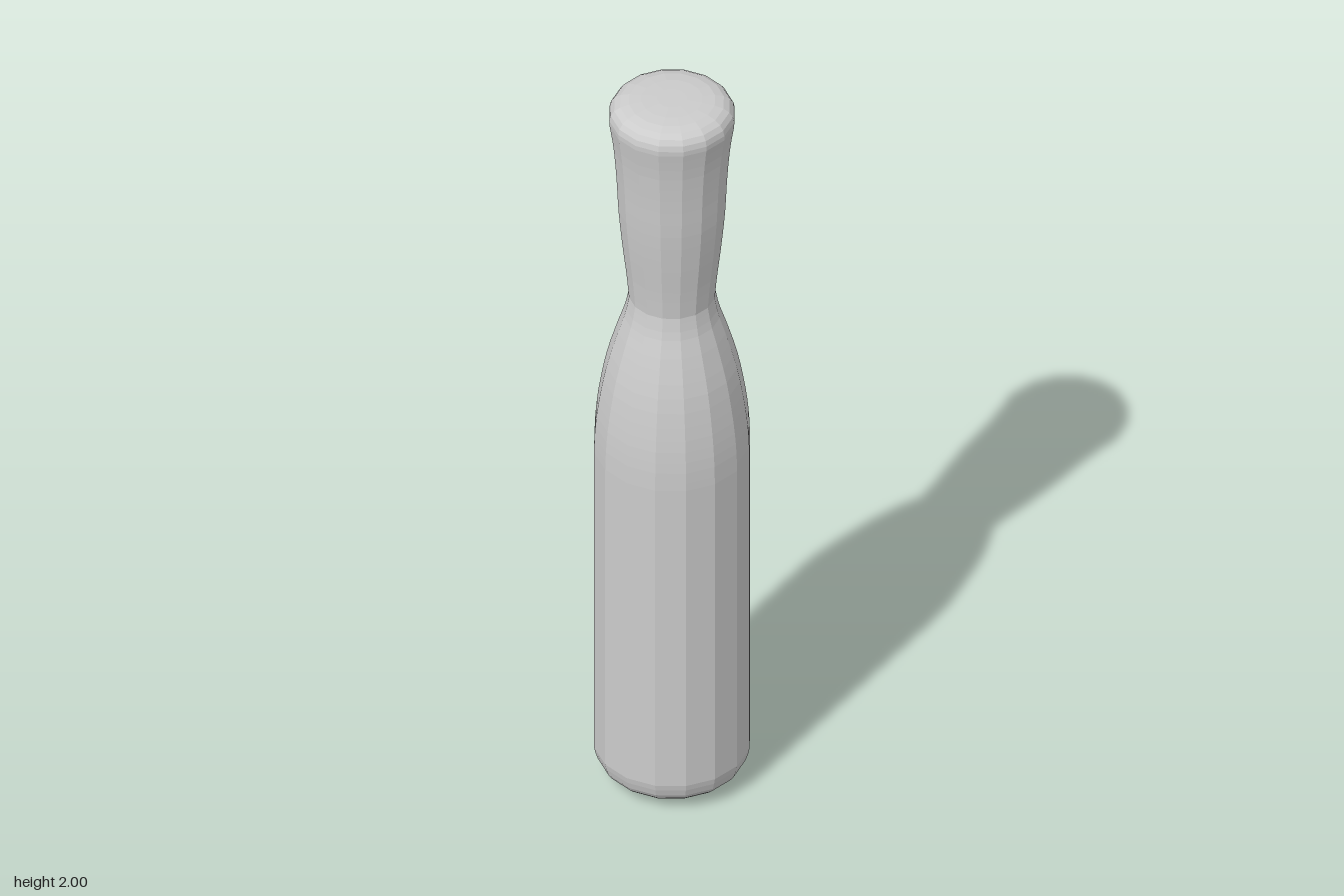
import * as THREE from 'three';

const SIDES = 16;

// Smooth curve through [radius, y] pairs
function smooth(pairs, divisions) {
  const curve = new THREE.SplineCurve(pairs.map(([r, y]) => new THREE.Vector2(r, y)));
  return curve.getPoints(divisions);
}

export function createModel() {
  const group = new THREE.Group();
  group.name = 'turnedClub';
  const material = new THREE.MeshStandardMaterial({ color: 0xcccccc, flatShading: true });

  function turned(name, points) {
    const mesh = new THREE.Mesh(new THREE.LatheGeometry(points, SIDES), material);
    mesh.name = name;
    group.add(mesh);
  }

  // Straight body with a rounded, slightly domed foot
  turned('body', [
    ...smooth([[0, 0], [0.06, 0.004], [0.115, 0.013], [0.157, 0.03], [0.178, 0.055], [0.187, 0.09]], 10),
    new THREE.Vector2(0.187, 0.97),
  ]);

  // Shoulder tapering into the narrow neck
  turned('shoulder', smooth([
    [0.187, 0.97], [0.184, 1.04], [0.175, 1.12], [0.157, 1.22],
    [0.132, 1.31], [0.113, 1.37], [0.103, 1.42],
  ], 16));

  // Grip swelling gently up to the flared end
  turned('grip', smooth([
    [0.103, 1.42], [0.109, 1.49], [0.119, 1.58], [0.128, 1.68],
    [0.133, 1.78], [0.14, 1.87], [0.15, 1.94],
  ], 16));

  // Rounded end cap
  turned('endCap', smooth([
    [0.15, 1.94], [0.149, 1.962], [0.136, 1.982], [0.108, 1.994], [0.06, 1.999], [0, 2],
  ], 8));

  return group;
}
